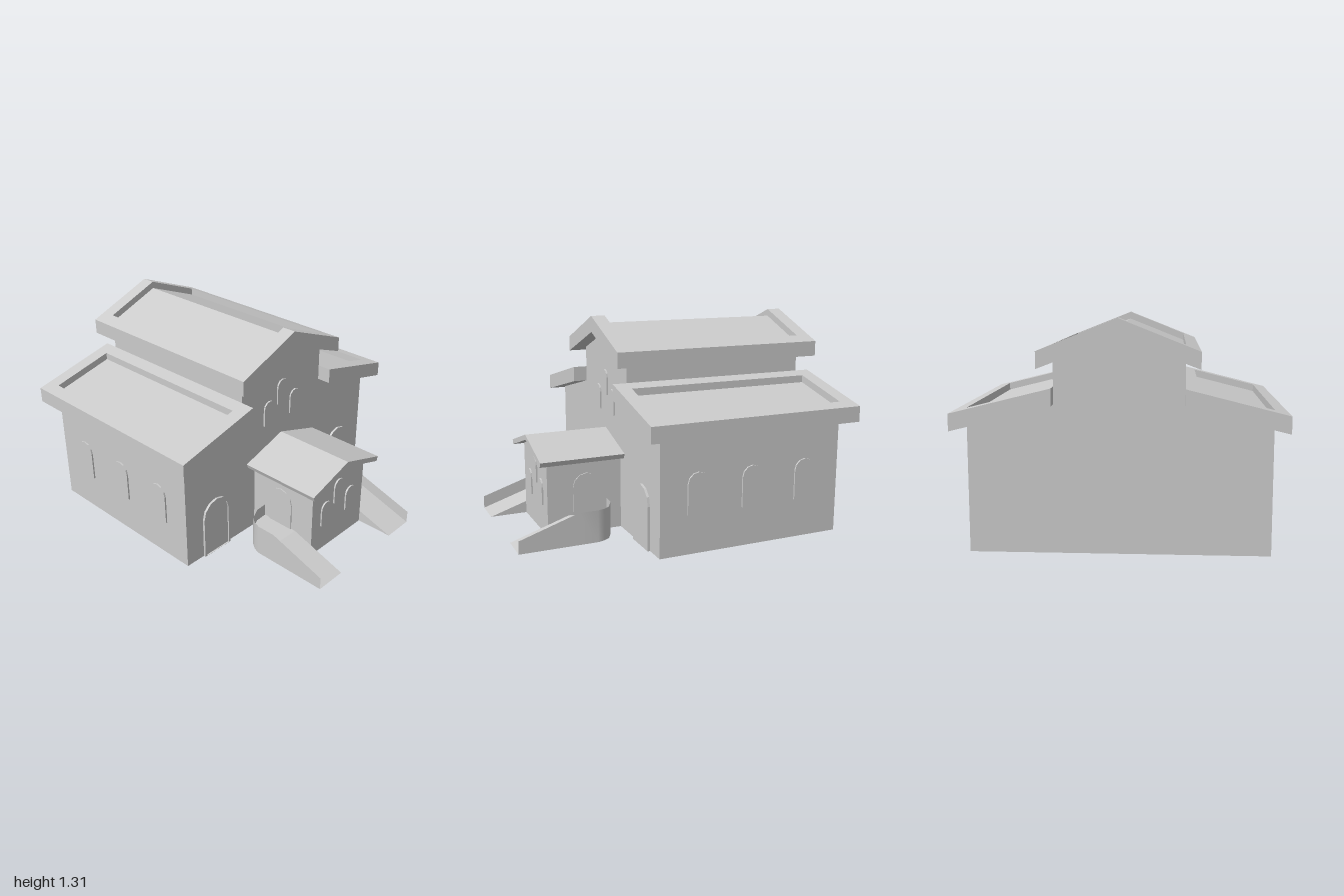
import * as THREE from 'three';

const material = new THREE.MeshStandardMaterial({ color: 0xcccccc, side: THREE.DoubleSide });

const toShape = (pts) => new THREE.Shape(pts.map(([x, y]) => new THREE.Vector2(x, y)));
const mirrored = (half) => [...half, ...half.filter(([x]) => x > 0).reverse().map(([x, y]) => [-x, y])];

function add(parent, name, geometry) {
  const mesh = new THREE.Mesh(geometry, material);
  mesh.name = name;
  parent.add(mesh);
  return mesh;
}

// Front-view outline extruded from z0 to z1
function slab(parent, name, pts, z0, z1) {
  const g = new THREE.ExtrudeGeometry(toShape(pts), { depth: z1 - z0, bevelEnabled: false });
  return add(parent, name, g.translate(0, 0, z0));
}

// Flat upright sheet facing z
function sheet(parent, name, pts, z) {
  return add(parent, name, new THREE.ShapeGeometry(toShape(pts)).translate(0, 0, z));
}

// Upright wall facing x, on both sides
function sideWalls(parent, name, x, y0, y1, z0, z1) {
  for (const s of [1, -1]) {
    const g = new THREE.PlaneGeometry(z1 - z0, y1 - y0).rotateY(s * Math.PI / 2);
    add(parent, name, g.translate(s * x, (y0 + y1) / 2, (z0 + z1) / 2));
  }
}

// Surface between two rows of points
function strip(parent, name, a, b, flat) {
  const index = [];
  for (let i = 0; i < a.length - 1; i++) {
    const j = a.length + i;
    index.push(i, i + 1, j, j, i + 1, j + 1);
  }
  let g = new THREE.BufferGeometry();
  g.setAttribute('position', new THREE.Float32BufferAttribute([...a, ...b].flat(), 3));
  g.setIndex(index);
  if (flat) g = g.toNonIndexed();
  g.computeVertexNormals();
  return add(parent, name, g);
}

// Round-headed outline standing on y = 0
function archPoints(w, h) {
  const r = w / 2, pts = [[-r, 0], [r, 0]];
  for (let i = 0; i <= 6; i++) {
    const a = i * Math.PI / 6;
    pts.push([r * Math.cos(a), h - r + r * Math.sin(a)]);
  }
  return pts;
}

// Thin arched panel (or frame) centred in the thickness of a wall
function arch(parent, name, w, h, x, y, z, depth = 0.02, turn = 0, frame = 0) {
  const shape = toShape(archPoints(w, h));
  if (frame) {
    const inner = archPoints(w - 2 * frame, h - frame).map(([px, py]) => new THREE.Vector2(px, py + 0.001));
    shape.holes.push(new THREE.Path(inner));
  }
  const g = new THREE.ExtrudeGeometry(shape, { depth, bevelEnabled: false });
  g.translate(0, 0, -depth / 2).rotateY(turn);
  return add(parent, name, g.translate(x, y, z));
}

// Middle window raised above its two neighbours
function windowTriplet(parent, name, y, z) {
  for (const i of [-1, 0, 1]) arch(parent, name, 0.095, 0.16, i * 0.12, y + (i ? 0 : 0.11), z);
}

// Roof with a sunken field: full section at both ends, recessed section between
function framedRoof(parent, name, full, recessed) {
  slab(parent, name + 'FrontRim', full, 0.285, 0.375);
  slab(parent, name + 'BackRim', full, -1, -0.91);
  slab(parent, name + 'Field', recessed, -0.91, 0.285);
}

export function createModel() {
  const root = new THREE.Group();
  root.name = 'building';
  const zF = 0.285, zB = -0.91;

  // Main walls, open underneath and open into the porch
  const top = mirrored([[0, 1.21], [0.36, 1.07], [0.36, 0.84], [0.84, 0.72], [0.84, 0]]);
  sheet(root, 'backWall', top, zB);
  const right = [[0, 1.21], [0.36, 1.07], [0.36, 0.84], [0.84, 0.72], [0.84, 0], [0.25, 0], [0.25, 0.478], [0, 0.56]];
  sheet(root, 'frontWall', right, zF);
  sheet(root, 'frontWall', right.map(([x, y]) => [-x, y]).reverse(), zF);
  sideWalls(root, 'sideWall', 0.84, 0, 0.72, zB, zF);
  sideWalls(root, 'upperWall', 0.36, 0.84, 1.07, zB, zF);

  // Main roof
  const under = [[-0.44, 1.04], [0, 1.21], [0.44, 1.04]];
  framedRoof(root, 'mainRoof',
    [...under, [0.44, 1.135], [0, 1.31], [-0.44, 1.135]],
    [...under, [0.44, 1.135], [0.36, 1.167], [0.36, 1.122], [0, 1.265],
      [-0.36, 1.122], [-0.36, 1.167], [-0.44, 1.135]]);

  // Lower side roofs
  for (const s of [1, -1]) {
    const flip = (pts) => pts.map(([x, y]) => [s * x, y]);
    framedRoof(root, 'sideRoof',
      flip([[0.36, 0.84], [0.92, 0.7], [0.92, 0.797], [0.36, 0.937]]),
      flip([[0.36, 0.84], [0.92, 0.7], [0.92, 0.797], [0.84, 0.817], [0.84, 0.772],
        [0.44, 0.872], [0.44, 0.917], [0.36, 0.937]]));
  }

  // Windows and doors of the main block
  windowTriplet(root, 'gableWindow', 0.7, zF);
  for (const s of [1, -1])
    for (const z of [0.045, -0.31, -0.67])
      arch(root, 'sideWindow', 0.135, 0.25, s * 0.84, 0.24, z, 0.02, Math.PI / 2);
  arch(root, 'leftDoor', 0.22, 0.38, 0.595, 0, zF, 0.03);
  arch(root, 'rightDoorFrame', 0.22, 0.38, -0.595, 0, zF, 0.03, 0, 0.015);
  arch(root, 'rightDoor', 0.19, 0.365, -0.595, 0, zF, 0.012);

  // Porch
  const porch = new THREE.Group();
  porch.name = 'porch';
  root.add(porch);
  sheet(porch, 'porchFront', mirrored([[0, 0.56], [0.25, 0.478], [0.25, 0]]), 0.762);
  sideWalls(porch, 'porchSide', 0.25, 0, 0.478, zF, 0.762);
  slab(porch, 'porchRoof',
    [[-0.308, 0.46], [0, 0.56], [0.308, 0.46], [0.32, 0.49], [0, 0.593], [-0.32, 0.49]], zF, 0.82);
  windowTriplet(porch, 'porchWindow', 0.18, 0.762);
  for (const s of [1, -1])
    arch(porch, 'porchDoor', 0.175, 0.26, s * 0.25, 0.12, 0.512, 0.014, Math.PI / 2);

  // Ramps rising to a landing, with a parapet curving round to the porch
  const path = [[0.452, 1], [0.452, 0.63], [0.452, 0.51], [0.438, 0.465], [0.41, 0.425], [0.33, 0.385], [0.25, 0.38]];
  const floorY = (z) => 0.12 * Math.min(1, (1 - z) / 0.37);
  for (const s of [1, -1]) {
    const ramp = new THREE.Group();
    ramp.name = s > 0 ? 'leftRamp' : 'rightRamp';
    const row = (fx, fy) => path.map(([x, z]) => [s * fx(x), fy(z), z]);
    strip(ramp, 'parapet', row((x) => x, () => 0), row((x) => x, (z) => floorY(z) + 0.08), false);
    strip(ramp, 'rampFloor', row((x) => x, floorY), row(() => 0.25, floorY), true);
    strip(ramp, 'rampInnerSide', [[s * 0.25, 0, 1], [s * 0.25, 0, 0.762]],
      [[s * 0.25, 0, 1], [s * 0.25, floorY(0.762), 0.762]], true);
    root.add(ramp);
  }
  return root;
}
